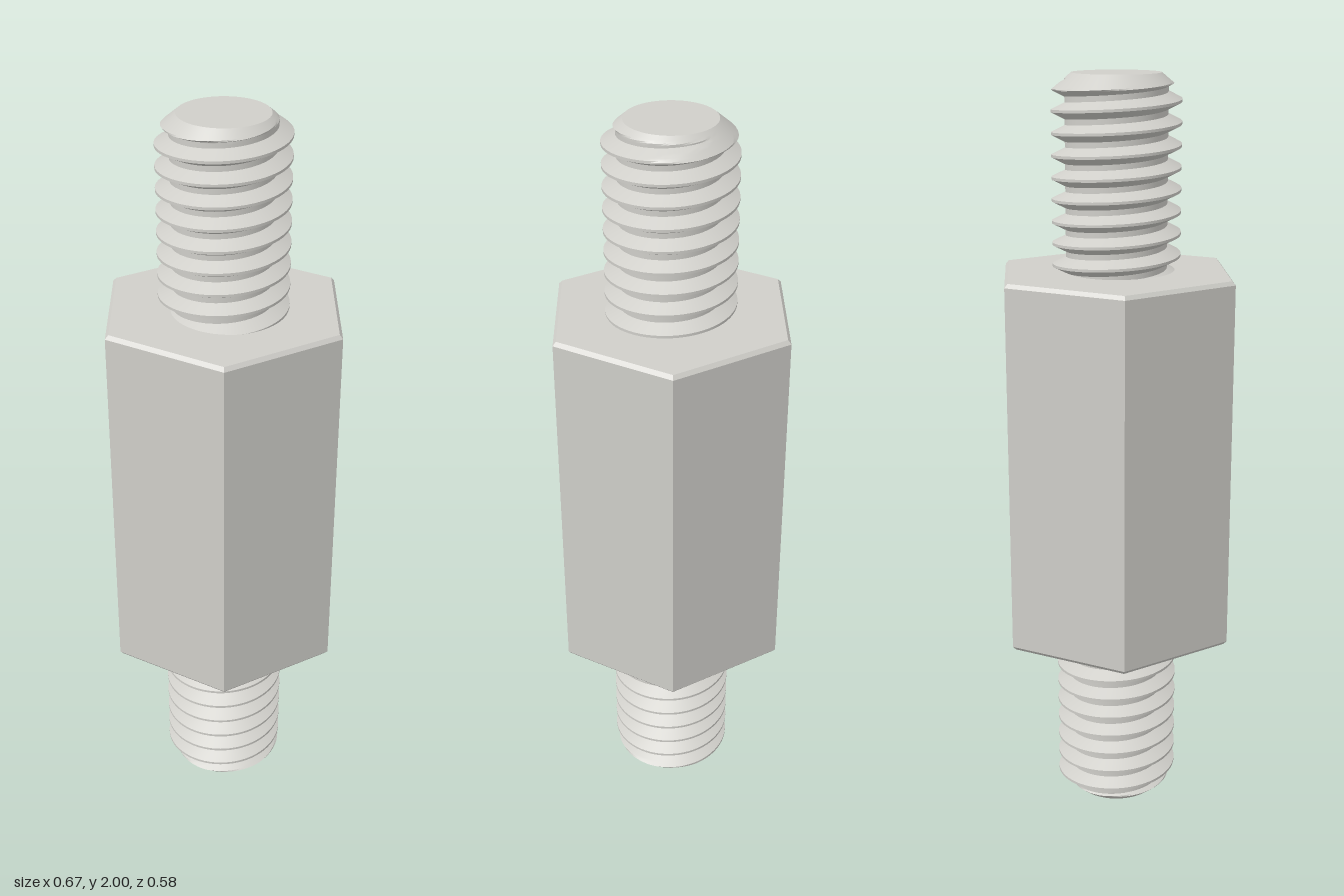
import * as THREE from 'three';
import { toCreasedNormals } from 'three/addons/utils/BufferGeometryUtils.js';

const LENGTH = 0.5, PITCH = 1 / 18;
const CREST = 0.166, ROOT = 0.131, TIP = 0.114;
const PHASE = 0.457 - PITCH / 4; // height of a crest at the front
const SEGMENTS = 64, STEPS = 16; // columns around, rows per pitch

// Radius of the right-handed thread, cut by the chamfer at its tip
function threadRadius(y, turn) {
  const k = (y - PHASE) / PITCH - turn;
  const d = Math.abs(k - Math.round(k));
  const flank = THREE.MathUtils.clamp((d - 1 / 16) / (5 / 16), 0, 1);
  const r = CREST + (ROOT - CREST) * flank;
  return Math.min(r, TIP + (LENGTH - y) * 1.2);
}

// Helical surface whose rows climb one pitch per turn
function threadGeometry() {
  const positions = [], indices = [];
  const first = -(Math.ceil(PHASE / PITCH) + 1) * STEPS;
  const last = Math.ceil((LENGTH - PHASE) / PITCH) * STEPS;
  const rows = last - first;
  for (let j = 0; j <= rows; j++) {
    for (let i = 0; i <= SEGMENTS; i++) {
      const turn = i / SEGMENTS, t = turn * Math.PI * 2;
      const y = THREE.MathUtils.clamp(PHASE + PITCH * ((first + j) / STEPS + turn), 0, LENGTH);
      const r = threadRadius(y, turn);
      positions.push(r * Math.sin(t), y, r * Math.cos(t));
    }
  }
  const height = (n) => positions[n * 3 + 1];
  const addFace = (a, b, c) => {
    // Skip faces collapsed onto either end
    const lo = Math.min(height(a), height(b), height(c));
    const hi = Math.max(height(a), height(b), height(c));
    if (hi - lo > 1e-7) indices.push(a, b, c);
  };
  for (let j = 0; j < rows; j++) {
    for (let i = 0; i < SEGMENTS; i++) {
      const a = j * (SEGMENTS + 1) + i, c = a + SEGMENTS + 1;
      addFace(a, a + 1, c + 1);
      addFace(a, c + 1, c);
    }
  }
  const geometry = new THREE.BufferGeometry();
  geometry.setAttribute('position', new THREE.Float32BufferAttribute(positions, 3));
  geometry.setIndex(indices);
  return toCreasedNormals(geometry, 0.5);
}

export function createModel() {
  const model = new THREE.Group();
  model.name = 'hexStandoff';
  const metal = new THREE.MeshStandardMaterial({ color: 0xcfcec9 });
  metal.name = 'light grey metal';

  // Hexagonal body with small chamfers
  const profile = [[0, 0.5], [0.325, 0.5], [0.3345, 0.51], [0.3345, 1.49], [0.325, 1.5], [0, 1.5]]
    .map(([x, y]) => new THREE.Vector2(x, y));
  const hex = new THREE.LatheGeometry(profile, 6);
  hex.rotateY(Math.PI / 6);
  const body = new THREE.Mesh(toCreasedNormals(hex, 0.3), metal);
  body.name = 'hexBody';
  model.add(body);

  // Threaded studs, the lower one turned over
  const thread = threadGeometry();
  const cap = new THREE.CircleGeometry(TIP, SEGMENTS).rotateX(-Math.PI / 2);
  for (const [name, y, flip] of [['upperStud', 1.5, 0], ['lowerStud', 0.5, Math.PI]]) {
    const stud = new THREE.Group();
    stud.name = name;
    const screw = new THREE.Mesh(thread, metal);
    screw.name = 'thread';
    const end = new THREE.Mesh(cap, metal);
    end.name = 'studEnd';
    end.position.y = LENGTH;
    stud.add(screw, end);
    stud.position.y = y;
    stud.rotation.x = flip;
    model.add(stud);
  }
  return model;
}
